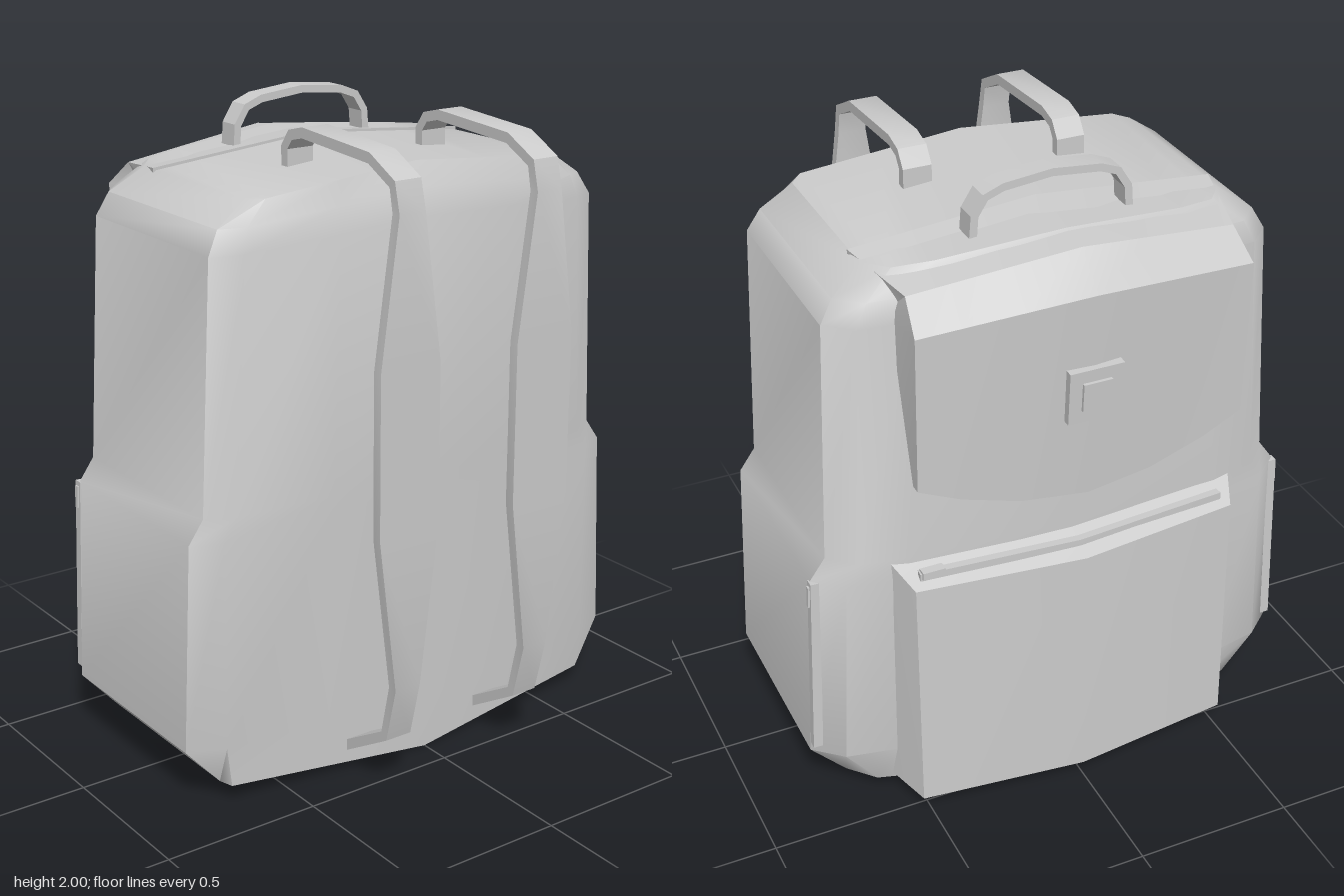
import * as THREE from 'three';
import { toCreasedNormals } from 'three/addons/utils/BufferGeometryUtils.js';

const material = new THREE.MeshStandardMaterial({ color: 0xcccccc });

// Skins closed rings of equal (even) point count; each ring runs out along one
// side and back along the other, so the ends close as strips of quads.
function loft(rings, crease = 0.6) {
  const n = rings[0].length, last = (rings.length - 1) * n;
  const pos = rings.flat(2), index = [];
  const quad = (a, b, c, d) => index.push(a, b, c, a, c, d);
  for (let r = 0; r < rings.length - 1; r++)
    for (let i = 0; i < n; i++) {
      const j = (i + 1) % n, o = r * n;
      quad(o + i, o + j, o + n + j, o + n + i);
    }
  for (let i = 0; i < n / 2 - 1; i++) {
    quad(n - 1 - i, n - 2 - i, i + 1, i);
    quad(last + i, last + i + 1, last + n - 2 - i, last + n - 1 - i);
  }
  // Turn the faces outward if the rings ran the other way
  const p = i => new THREE.Vector3().fromArray(pos, index[i] * 3);
  let volume = 0;
  for (let i = 0; i < index.length; i += 3) volume += p(i).dot(p(i + 1).cross(p(i + 2)));
  if (volume < 0) index.reverse();
  const g = new THREE.BufferGeometry();
  g.setAttribute('position', new THREE.Float32BufferAttribute(pos, 3));
  g.setIndex(index);
  return toCreasedNormals(g, crease);
}

// Band along a 2D path of [u, v, halfWidth]; place() turns (u, v, w) into x, y, z
function ribbon(path, thickness, place) {
  return loft(path.map(([u, v, hw], i) => {
    const a = path[Math.max(i - 1, 0)], b = path[Math.min(i + 1, path.length - 1)];
    const len = Math.hypot(b[0] - a[0], b[1] - a[1]);
    const nu = -(b[1] - a[1]) / len * thickness / 2, nv = (b[0] - a[0]) / len * thickness / 2;
    return [place(u + nu, v + nv, -hw), place(u + nu, v + nv, hw),
      place(u - nu, v - nv, hw), place(u - nu, v - nv, -hw)];
  }), 0.45);
}

export function createModel() {
  const group = new THREE.Group();
  const add = (name, geometry, x = 0, y = 0, z = 0) => {
    const mesh = new THREE.Mesh(geometry, material);
    mesh.name = name;
    mesh.position.set(x, y, z);
    group.add(mesh);
    return mesh;
  };

  // Main bag with the side pockets flaring out below
  // [centre y, edge y, half width, front fold x, front centre z, front fold z, back centre z]
  const levels = [
    [0, 0.06, 0.70, 0.685, 0.40, 0.345, -0.46],
    [0.17, 0.19, 0.815, 0.70, 0.40, 0.345, -0.47],
    [0.84, 0.84, 0.785, 0.69, 0.40, 0.345, -0.48],
    [0.91, 0.91, 0.735, 0.65, 0.40, 0.345, -0.48],
    [1.71, 1.67, 0.70, 0.61, 0.40, 0.35, -0.46],
    [1.79, 1.74, 0.66, 0.59, 0.365, 0.335, -0.45],
    [1.86, 1.81, 0.56, 0.52, 0.325, 0.32, -0.41],
  ];
  add('bagBody', loft(levels.map(([yc, ye, w, fx, zc, zf, zb]) => {
    const front = [[w, zf - 0.045], [fx, zf], [fx / 2, (zc + zf) / 2], [0, zc]];
    const back = [[w, zb + 0.14], [w * 0.89, zb + 0.065], [w * 0.68, zb + 0.035], [0, zb]];
    const at = s => ([x, z]) => [s * x, yc + (ye - yc) * x / w, z];
    const side = half => [...half.map(at(-1)), ...half.slice(0, 3).reverse().map(at(1))];
    return [...side(front), ...side(back).reverse()];
  }), 0.7));

  // Flap folding over the top and hanging down the back
  // [half width, outer z, outer y, inner z, inner y, edge shift z, edge shift y]
  const flapRows = [
    [0.57, -0.20, 1.868, -0.20, 1.80, 0, -0.05],
    [0.505, -0.505, 1.845, -0.41, 1.77, 0.045, -0.06],
    [0.52, -0.608, 1.745, -0.43, 1.72, 0.05, -0.04],
    [0.52, -0.578, 1.08, -0.545, 1.08, 0.03, 0.13],
  ];
  const across = [-1, -0.75, -0.4, 0, 0.4, 0.75, 1];
  add('flap', loft(flapRows.map(([w, zo, yo, zi, yi, dz, dy]) => {
    const line = (z, y) => across.map(t =>
      [t * w, y + dy * (dy > 0 ? t * t : Math.abs(t)), z + dz * Math.abs(t)]);
    return [...line(zo, yo), ...line(zi, yi).reverse()];
  }), 0.45));

  // Square buckle on the flap
  add('bucklePlate', new THREE.BoxGeometry(0.17, 0.17, 0.03), 0, 1.435, -0.598).rotation.x = -0.05;
  add('buckleButton', new THREE.BoxGeometry(0.09, 0.09, 0.02), 0, 1.435, -0.613).rotation.x = -0.05;

  // Back pocket with a folded face and bevelled rim
  const pocketRing = (w, top, bottom, zTop, zBottom, fold) => [
    ...[-1, 0, 1].map(t => [t * w, top, zTop + fold * Math.abs(t)]),
    ...[1, 0, -1].map(t => [t * w, bottom, zBottom + fold * Math.abs(t)]),
  ];
  add('backPocket', loft([
    pocketRing(0.575, 0.91, 0.07, -0.44, -0.44, 0.03),
    pocketRing(0.525, 0.845, 0.05, -0.585, -0.60, 0.06),
  ], 0.3));
  add('pocketZip', ribbon([[-0.5, -0.49, 0.012], [0, -0.53, 0.012], [0.5, -0.49, 0.012]],
    0.025, (u, v, w) => [u, 0.873 + w, v]));
  add('pocketZipPull', new THREE.BoxGeometry(0.07, 0.025, 0.03), 0.46, 0.88, -0.497);

  // Side pocket zips
  for (const s of [-1, 1]) {
    add('sideZip', new THREE.BoxGeometry(0.03, 0.62, 0.028), s * 0.786, 0.53, -0.345).rotation.z = s * 0.038;
    add('sideZipPull', new THREE.BoxGeometry(0.03, 0.07, 0.014), s * 0.782, 0.79, -0.345).rotation.z = s * 0.038;
  }

  // Shoulder straps, widest at the middle
  const strapPath = [
    [0.07, 1.80, 0.045], [0.07, 1.89, 0.045], [0.10, 1.93, 0.045], [0.16, 1.945, 0.045],
    [0.48, 1.925, 0.045], [0.587, 1.87, 0.045], [0.605, 1.79, 0.045], [0.605, 1.35, 0.105],
    [0.605, 0.85, 0.105], [0.605, 0.365, 0.045], [0.565, 0.195, 0.045], [0.37, 0.08, 0.045],
  ];
  for (const x of [-0.242, 0.252])
    add('shoulderStrap', ribbon(strapPath, 0.032, (u, v, w) => [x + w, v, u]));

  // Carry handle
  const handlePath = [[-0.245, 1.81], [-0.238, 1.90], [-0.205, 1.952], [-0.15, 1.973], [0, 1.988],
    [0.15, 1.973], [0.205, 1.952], [0.238, 1.90], [0.245, 1.81]].map(p => [...p, 0.034]);
  add('carryHandle', ribbon(handlePath, 0.024, (u, v, w) => [u, v, -0.285 + w]));

  return group;
}
